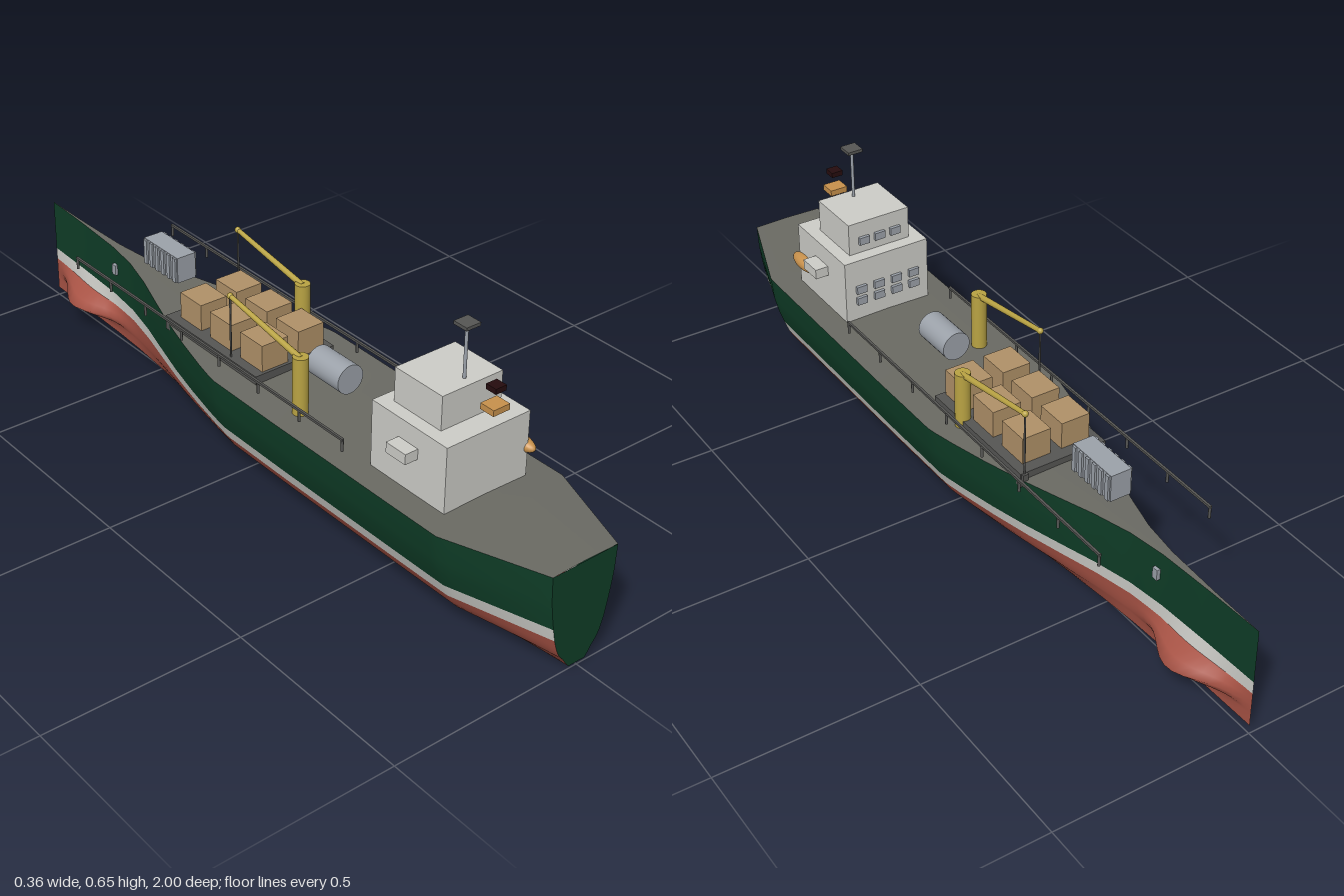
import * as THREE from 'three';

const mat = (name, color) => new THREE.MeshStandardMaterial({ name, color, side: THREE.DoubleSide });

// Piecewise linear lookup in [[z, value], ...] with z descending
function lookup(table, z) {
  for (let i = 1; i < table.length; i++) {
    const [z0, v0] = table[i - 1], [z1, v1] = table[i];
    if (z >= z1) return v0 + (v1 - v0) * (z0 - z) / (z0 - z1);
  }
  return table[table.length - 1][1];
}

// Hull plan: deck half-width and sheer along the length
const WIDTH = [[1, 0.093], [0.75, 0.182], [-0.03, 0.182], [-0.1, 0.167], [-0.2, 0.142], [-0.3, 0.115],
  [-0.4, 0.083], [-0.5, 0.05], [-0.6, 0.024], [-0.7, 0.011], [-0.85, 0.004], [-1, 0]];
const SHEER = [[1, 0.006], [0.6, 0.002], [0.2, 0], [-0.2, 0.003], [-0.6, 0.014], [-1, 0.023]];
// Cross-section rows: width ratio, height, bulb strength
const ROWS = [[1, 0.262, 0], [0.965, 0.2, 0], [0.91, 0.16, 0], [0.84, 0.122, 0], [0.775, 0.09, 0.12],
  [0.72, 0.072, 0.65], [0.67, 0.058, 1], [0.6, 0.044, 0.75], [0.54, 0.036, 0.3], [0.47, 0.029, 0.08],
  [0.35, 0.012, 0], [0.25, 0, 0]];
const STATIONS = [];
for (let i = 0; i <= 80; i++) STATIONS.push(1 - i * 0.025);

function hullPoint(z, [ratio, y, bulb], side) {
  const swell = 0.072 * Math.exp(-(((z + 0.81) / 0.1) ** 2)) * bulb * Math.min(1, (z + 1) * 20);
  return [side * (lookup(WIDTH, z) * ratio + swell), y + lookup(SHEER, z), z];
}

// Surface through a list of equally long cross-sections
function loft(sections, flip) {
  const n = sections[0].length, index = [];
  for (let i = 0; i < sections.length - 1; i++) {
    for (let j = 0; j < n - 1; j++) {
      const a = i * n + j, b = a + 1, c = a + n, d = c + 1;
      if (flip) index.push(a, b, c, b, d, c);
      else index.push(a, c, b, b, c, d);
    }
  }
  const g = new THREE.BufferGeometry();
  g.setAttribute('position', new THREE.Float32BufferAttribute(sections.flat(2), 3));
  g.setIndex(index);
  g.computeVertexNormals();
  return g;
}

export function createModel() {
  const ship = new THREE.Group();
  ship.name = 'cargoShip';
  const green = mat('hullGreen', 0x0f3d27), white = mat('paintWhite', 0xcdcdc8);
  const red = mat('bottomRed', 0xa85345), deckGrey = mat('deckGrey', 0x6a6a63);
  const tan = mat('crateTan', 0xb09168), yellow = mat('craneYellow', 0xb9a343);
  const orange = mat('rescueOrange', 0xc8914c), steel = mat('steel', 0x9ca2aa);
  const dark = mat('darkGrey', 0x565654), maroon = mat('darkMaroon', 0x260c0e);

  const add = (name, geometry, material, x = 0, y = 0, z = 0, parent = ship) => {
    const m = new THREE.Mesh(geometry, material);
    m.name = name;
    m.position.set(x, y, z);
    parent.add(m);
    return m;
  };
  // Box given by its limits
  const box = (name, material, x0, x1, y0, y1, z0, z1) => add(name,
    new THREE.BoxGeometry(x1 - x0, y1 - y0, z1 - z0), material, (x0 + x1) / 2, (y0 + y1) / 2, (z0 + z1) / 2);
  // Round bar between two points
  const bar = (name, material, from, to, r0, r1 = r0, sides = 12) => {
    const a = new THREE.Vector3(...from), b = new THREE.Vector3(...to);
    const m = add(name, new THREE.CylinderGeometry(r1, r0, a.distanceTo(b), sides), material);
    m.position.copy(a).add(b).multiplyScalar(0.5);
    m.quaternion.setFromUnitVectors(new THREE.Vector3(0, 1, 0), b.sub(a).normalize());
    return m;
  };

  // Hull sides in three paint bands, open along the keel
  const bands = [['topside', green, 0, 3], ['waterlineStripe', white, 3, 4], ['hullBottom', red, 4, ROWS.length - 1]];
  for (const side of [-1, 1]) {
    for (const [name, material, first, last] of bands) {
      const rows = ROWS.slice(first, last + 1);
      add(name, loft(STATIONS.map(z => rows.map(r => hullPoint(z, r, side))), side < 0), material);
    }
  }

  // Transom
  const edge = ROWS.map(r => hullPoint(1, r, 1));
  const outline = [...edge.map(p => new THREE.Vector2(p[0], p[1])),
    ...edge.slice().reverse().map(p => new THREE.Vector2(-p[0], p[1]))];
  add('transom', new THREE.ShapeGeometry(new THREE.Shape(outline)), green, 0, 0, 1);

  // Deck with a slight crown
  add('deck', loft(STATIONS.map(z => {
    const [x, y] = hullPoint(z, ROWS[0], 1);
    return [[-x, y, z], [0, y + 0.02 * x, z], [x, y, z]];
  }), true), deckGrey);

  // Deckhouse, bridge and wings
  box('deckhouse', white, -0.118, 0.118, 0.255, 0.432, 0.465, 0.703);
  box('bridge', white, -0.085, 0.085, 0.432, 0.517, 0.498, 0.647);
  for (const s of [-1, 1]) {
    const wing = box('bridgeWing', white, 0.113, 0.153, 0.358, 0.384, 0.553, 0.615);
    wing.position.x *= s;
  }

  // Windows on the forward faces
  for (const y of [0.319, 0.351]) {
    for (const x of [-0.075, -0.025, 0.025, 0.075]) box('cabinWindow', steel, x - 0.014, x + 0.014, y - 0.01, y + 0.01, 0.457, 0.466);
  }
  for (const x of [-0.044, 0, 0.044]) box('bridgeWindow', steel, x - 0.014, x + 0.014, 0.456, 0.476, 0.49, 0.499);

  // Mast with radar plate, and the funnel markers astern of the bridge
  bar('mast', steel, [0, 0.517, 0.62], [0, 0.648, 0.62], 0.004);
  box('radarPlate', dark, -0.02, 0.02, 0.645, 0.653, 0.6, 0.64);
  box('funnelBand', orange, -0.023, 0.023, 0.487, 0.502, 0.695, 0.735);
  box('funnelCap', maroon, -0.015, 0.015, 0.535, 0.548, 0.7, 0.73);

  // Lifeboat
  add('lifeboat', new THREE.SphereGeometry(1, 24, 16), orange, 0.122, 0.338, 0.668).scale.set(0.02, 0.018, 0.053);

  // Hatch and crates
  box('hatch', dark, -0.116, 0.116, 0.25, 0.286, -0.31, 0.052);
  for (const x of [-0.053, 0.053]) {
    for (const z of [-0.238, -0.118, 0.002]) box('crate', tan, x - 0.038, x + 0.038, 0.286, 0.355, z - 0.042, z + 0.042);
  }

  // Cranes, one on each side
  for (const [x, z, reach] of [[-0.106, 0.205, 0.262], [0.106, -0.055, 0.255]]) {
    bar('cranePedestal', yellow, [x, 0.255, z], [x, 0.411, z], 0.019, 0.019, 24);
    bar('craneBoom', yellow, [x, 0.405, z], [x, 0.449, z - reach], 0.008, 0.006);
    add('boomTip', new THREE.SphereGeometry(0.008, 12, 8), yellow, x, 0.449, z - reach);
    bar('craneRope', dark, [x, 0.449, z - reach], [x, 0.28, z - reach], 0.0025, 0.0025, 6);
    add('craneHook', new THREE.BoxGeometry(0.014, 0.02, 0.014), dark, x, 0.275, z - reach);
  }

  // Deck tank and forward ribbed container
  bar('deckTank', steel, [0, 0.333, 0.14], [0, 0.333, 0.253], 0.037, 0.037, 28);
  box('container', steel, -0.027, 0.027, 0.313, 0.382, -0.525, -0.382);
  for (const s of [-1, 1]) {
    for (let i = 0; i < 6; i++) add('containerRib', new THREE.BoxGeometry(0.006, 0.066, 0.012), steel, s * 0.029, 0.347, -0.515 + i * 0.0246);
  }

  // Railings and anchors
  for (const s of [-1, 1]) {
    const x = s * 0.147;
    box('handrail', dark, x - 0.003, x + 0.003, 0.306, 0.312, -0.655, 0.406);
    for (let i = 0; i < 8; i++) bar('railPost', dark, [x, 0.279, 0.403 - i * 0.1507], [x, 0.308, 0.403 - i * 0.1507], 0.0035, 0.0035, 8);
    add('anchor', new THREE.BoxGeometry(0.012, 0.028, 0.016), steel, s * 0.015, 0.22, -0.683);
  }
  return ship;
}
